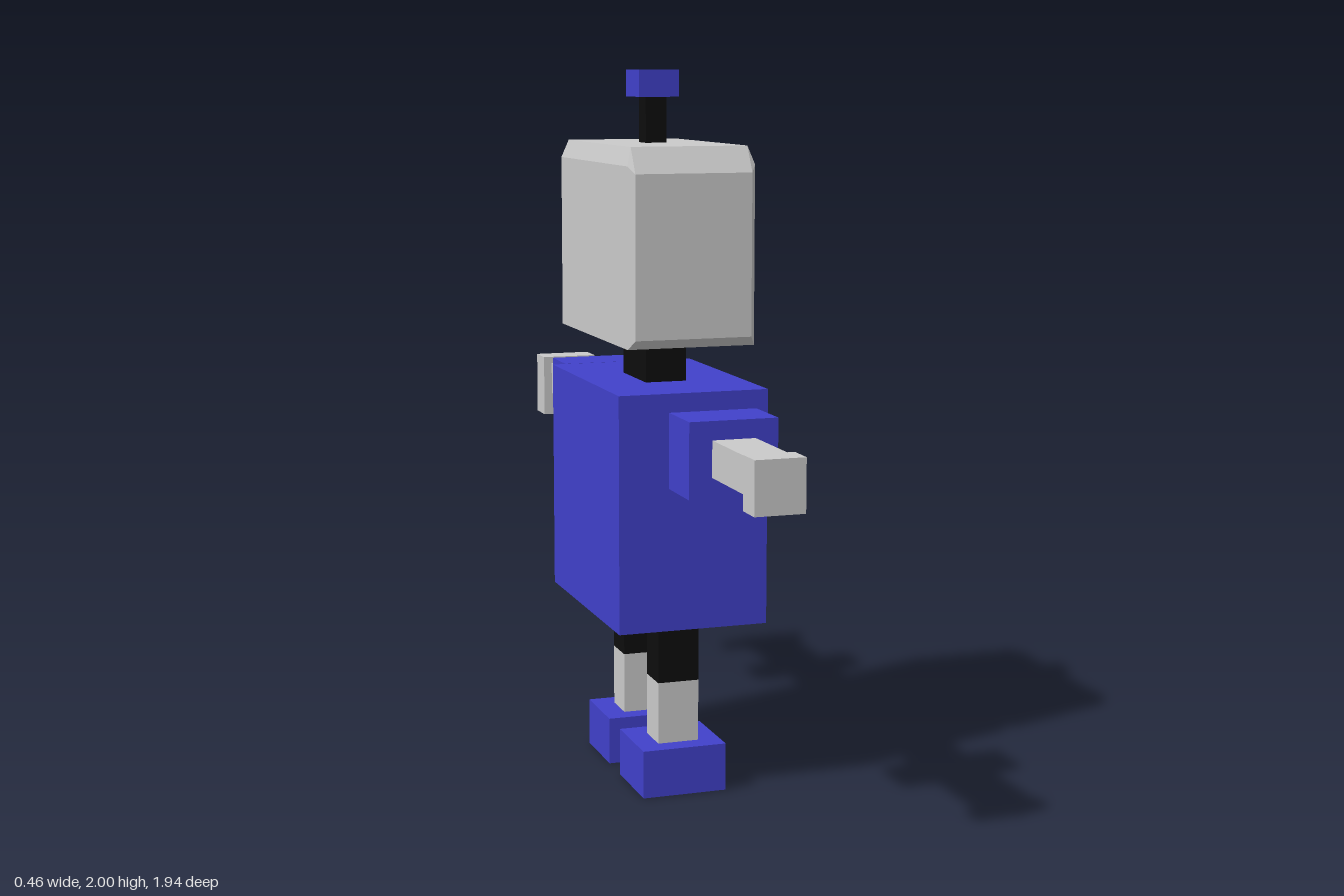
import * as THREE from 'three';
import { ConvexGeometry } from 'three/addons/geometries/ConvexGeometry.js';

const paint = (name, color) => {
  const m = new THREE.MeshStandardMaterial({ color });
  m.name = name;
  return m;
};

export function createModel() {
  const robot = new THREE.Group();
  robot.name = 'robot';
  const blue = paint('blue', 0x4141cb);
  const grey = paint('light grey', 0xcbcbcb);
  const black = paint('black', 0x0d0d0d);
  const yellow = paint('yellow', 0xcbc322);

  // Box from its [min, max] extents on each axis
  const block = (parent, name, mat, [x0, x1], [y0, y1], [z0, z1]) => {
    const mesh = new THREE.Mesh(new THREE.BoxGeometry(x1 - x0, y1 - y0, z1 - z0), mat);
    mesh.position.set((x0 + x1) / 2, (y0 + y1) / 2, (z0 + z1) / 2);
    mesh.name = name;
    parent.add(mesh);
  };
  const group = (name) => {
    const g = new THREE.Group();
    g.name = name;
    robot.add(g);
    return g;
  };
  const limbX = [-0.083, 0.035];
  const jointX = [-0.145, 0.097];

  // Body, chest panel and neck (the robot faces +x)
  block(robot, 'torso', blue, [-0.23, 0.195], [0.488, 1.143], [-0.335, 0.32]);
  block(robot, 'chestPanel', yellow, [0.19, 0.23], [0.6, 1.03], [-0.225, 0.203]);
  block(robot, 'neck', black, limbX, [1.143, 1.265], [-0.11, 0.1]);

  // Head: a box with bevelled ends and top
  const corners = [];
  const ring = (x0, x1, y, z0, z1) => {
    for (const x of [x0, x1]) for (const z of [z0, z1]) corners.push(new THREE.Vector3(x, y, z));
  };
  ring(-0.203, 0.155, 1.265, -0.322, 0.315);
  ring(-0.187, 0.14, 1.29, -0.342, 0.335);
  ring(-0.187, 0.14, 1.73, -0.342, 0.335);
  ring(-0.203, 0.155, 1.75, -0.322, 0.315);
  ring(-0.187, 0.14, 1.8, -0.3, 0.295);
  const head = new THREE.Mesh(new ConvexGeometry(corners), grey);
  head.name = 'head';
  robot.add(head);

  // Antenna
  block(robot, 'antennaRod', black, [-0.056, 0.005], [1.8, 1.926], [-0.043, 0.018]);
  block(robot, 'antennaTip', blue, [-0.084, 0.032], [1.926, 2], [-0.073, 0.043]);

  // Eyes
  for (const [side, z] of [['left', -0.158], ['right', 0.14]]) {
    const eye = group(side + 'Eye');
    block(eye, 'eyeFrame', yellow, [0.15, 0.17], [1.44, 1.613], [z - 0.053, z + 0.053]);
    block(eye, 'pupil', black, [0.15, 0.197], [1.453, 1.6], [z - 0.039, z + 0.039]);
  }

  // Arms: distances outward along z, mirrored by s
  const arms = [
    ['right', 1, [0.32, 0.49, 0.65, 0.895, 0.973], [-0.09, 0.045], [0.935, 1.075]],
    ['left', -1, [0.335, 0.5, 0.645, 0.885, 0.97], [-0.108, 0.06], [0.905, 1.09]],
  ];
  for (const [side, s, d, handX, handY] of arms) {
    const arm = group(side + 'Arm');
    const span = (i) => [s * d[i], s * d[i + 1]].sort((a, b) => a - b);
    block(arm, 'upperArm', black, limbX, [0.973, 1.07], span(0));
    block(arm, 'elbow', blue, jointX, [0.918, 1.12], span(1));
    block(arm, 'forearm', grey, limbX, [0.973, 1.07], span(2));
    block(arm, 'hand', grey, handX, handY, span(3));
  }

  // Legs
  const legs = [
    ['right', [0.105, 0.21], [0.045, 0.267]],
    ['left', [-0.212, -0.11], [-0.265, -0.058]],
  ];
  for (const [side, legZ, footZ] of legs) {
    const leg = group(side + 'Leg');
    block(leg, 'thigh', black, limbX, [0.31, 0.488], legZ);
    block(leg, 'shin', grey, limbX, [0.135, 0.31], legZ);
    block(leg, 'foot', blue, jointX, [0, 0.135], footZ);
  }
  return robot;
}
